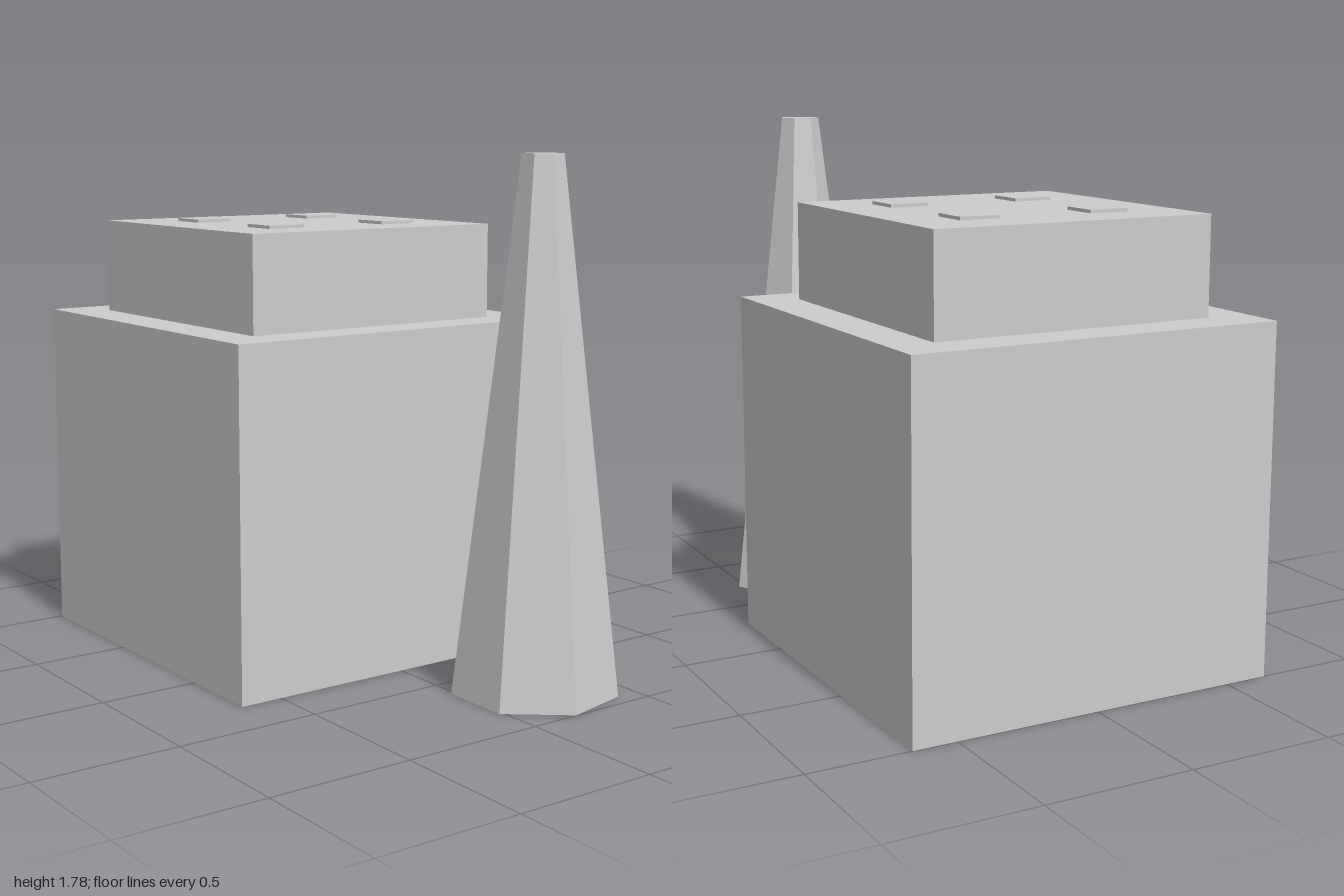
import * as THREE from 'three';

export function createModel() {
  const model = new THREE.Group();
  const grey = new THREE.MeshStandardMaterial({ color: 0xcccccc, flatShading: true });
  grey.name = 'light grey';

  const add = (name, geometry, x, y, z) => {
    const mesh = new THREE.Mesh(geometry, grey);
    mesh.name = name;
    mesh.position.set(x, y, z);
    model.add(mesh);
  };
  // Box standing on height y0
  const box = (name, width, y0, y1, depth, x, z) =>
    add(name, new THREE.BoxGeometry(width, y1 - y0, depth), x, (y0 + y1) / 2, z);

  // Stepped building
  const cx = -0.348;
  box('mainBlock', 1.304, 0, 1.19, 1.304, cx, 0);
  box('upperBlock', 0.996, 1.19, 1.524, 0.996, cx, 0);

  // Four low roof pads
  for (const sx of [-1, 1])
    for (const sz of [-1, 1])
      box('roofPad', 0.14, 1.524, 1.535, 0.14, cx + sx * 0.237, sz * 0.237);

  // Tapered seven-sided chimney, one corner facing the back
  add('chimney', new THREE.CylinderGeometry(0.07, 0.284, 1.784, 7, 1, false, Math.PI), 0.722, 0.892, -0.24);

  return model;
}
